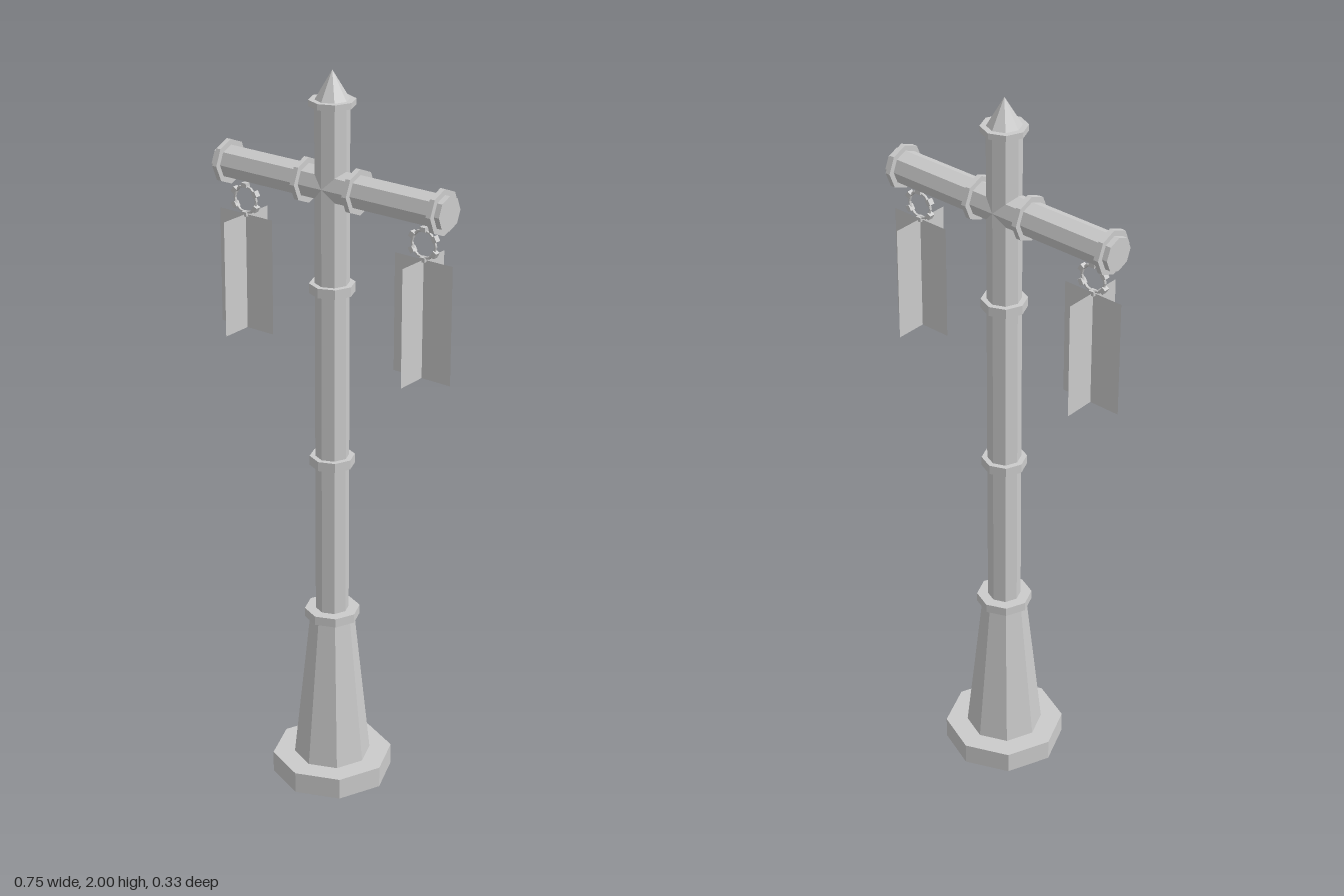
import * as THREE from 'three';

const metal = new THREE.MeshStandardMaterial({ color: 0xcccccc, flatShading: true });
const sheet = new THREE.MeshStandardMaterial({ color: 0xcccccc, flatShading: true, side: THREE.DoubleSide });

function add(parent, name, geometry, material = metal) {
  const mesh = new THREE.Mesh(geometry, material);
  mesh.name = name;
  parent.add(mesh);
  return mesh;
}

// Upright eight-sided section between two heights
function octagon(parent, name, rBottom, rTop, y0, y1) {
  const mesh = add(parent, name, new THREE.CylinderGeometry(rTop, rBottom, y1 - y0, 8));
  mesh.position.y = (y0 + y1) / 2;
  return mesh;
}

// Eight-sided section lying along x
function crosswise(parent, name, radius, length, x, y) {
  const mesh = add(parent, name, new THREE.CylinderGeometry(radius, radius, length, 8));
  mesh.rotation.z = Math.PI / 2;
  mesh.position.set(x, y, 0);
  return mesh;
}

// Hanging ring with six studs, and two crossed sheets below it
function createHanger(x) {
  const hanger = new THREE.Group();
  hanger.name = 'hanger';
  hanger.position.x = x;

  const ring = new THREE.Group();
  ring.name = 'hangingRing';
  ring.position.y = 1.61;
  hanger.add(ring);
  add(ring, 'ringBand', new THREE.TorusGeometry(0.036, 0.004, 6, 12));
  for (let i = 0; i < 6; i++) {
    const a = Math.PI / 2 + i * Math.PI / 3;
    const stud = add(ring, 'ringStud', new THREE.BoxGeometry(0.012, 0.016, 0.016));
    stud.position.set(Math.cos(a) * 0.039, Math.sin(a) * 0.039, 0);
    stud.rotation.z = a;
  }

  for (const turn of [0, Math.PI / 2]) {
    const panel = add(hanger, 'hangingPanel', new THREE.PlaneGeometry(0.175, 0.315), sheet);
    panel.position.y = 1.4125;
    panel.rotation.y = turn;
  }
  return hanger;
}

export function createModel() {
  const model = new THREE.Group();
  model.name = 'signpost';

  // Foot and post
  octagon(model, 'base', 0.165, 0.165, 0, 0.06);
  octagon(model, 'taperedPlinth', 0.105, 0.06, 0.06, 0.49);
  octagon(model, 'plinthCollar', 0.075, 0.075, 0.485, 0.51);
  octagon(model, 'post', 0.045, 0.045, 0.5, 1.925);
  for (const y of [0.95, 1.433]) octagon(model, 'postRing', 0.06, 0.06, y - 0.013, y + 0.013);
  octagon(model, 'topRing', 0.06, 0.06, 1.91, 1.926);
  octagon(model, 'finial', 0.045, 0, 1.925, 2);

  // Crossarm with its bands and hangers
  const armY = 1.703;
  crosswise(model, 'crossarm', 0.045, 0.72, 0, armY);
  for (const side of [-1, 1]) {
    for (const x of [0.082, 0.338]) crosswise(model, 'armBand', 0.06, 0.014, side * x, armY);
    model.add(createHanger(side * 0.285));
  }
  return model;
}
